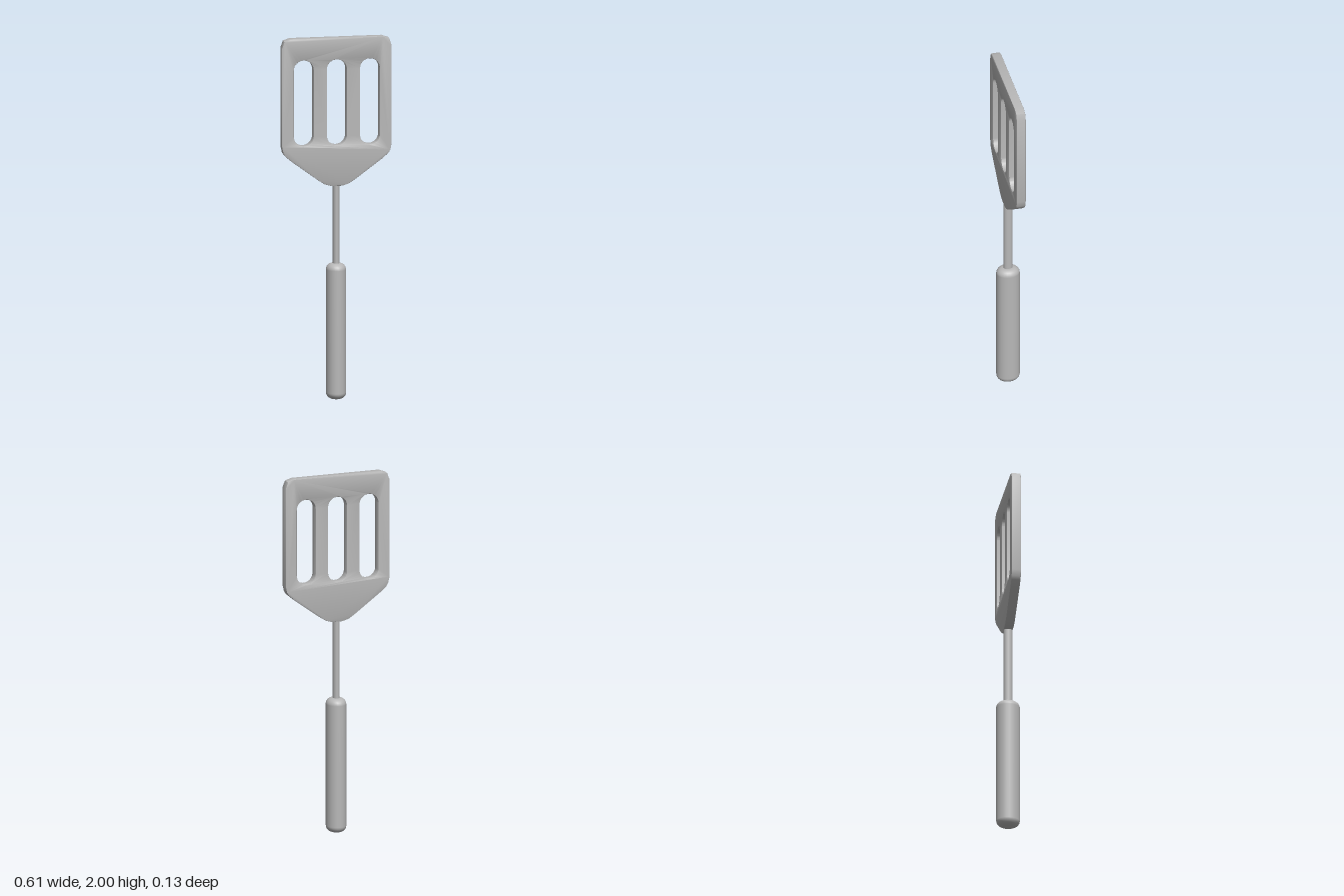
import * as THREE from 'three';
import { toCreasedNormals } from 'three/addons/utils/BufferGeometryUtils.js';

const grey = new THREE.MeshStandardMaterial({ color: 0xb8b8b8 });
grey.name = 'grey';

function addPart(group, name, geometry) {
  const mesh = new THREE.Mesh(geometry, grey);
  mesh.name = name;
  group.add(mesh);
  return mesh;
}

// Vertical slot with rounded ends
function slot(cx, halfWidth, bottom, top) {
  const path = new THREE.Path();
  path.absarc(cx, top - halfWidth, halfWidth, 0, Math.PI, false);
  path.absarc(cx, bottom + halfWidth, halfWidth, Math.PI, Math.PI * 2, false);
  path.closePath();
  return path;
}

function bladeGeometry() {
  // Right half of the outline, bottom to top, then mirrored
  const half = [
    [0.03, 1.18], [0.065, 1.19], [0.1, 1.212], [0.25, 1.322],
    [0.285, 1.352], [0.296, 1.37], [0.304, 1.405],
    [0.304, 1.95], [0.29, 1.988], [0.255, 2],
  ];
  const mirrored = half.map(([x, y]) => [-x, y]).reverse();
  const shape = new THREE.Shape([...half, ...mirrored].map(([x, y]) => new THREE.Vector2(x, y)));
  for (const cx of [-0.183, 0, 0.183]) shape.holes.push(slot(cx, 0.054, 1.405, 1.88));

  const bevel = 0.005, thickness = 0.052;
  const geometry = new THREE.ExtrudeGeometry(shape, {
    depth: thickness - 2 * bevel, curveSegments: 12,
    bevelEnabled: true, bevelThickness: bevel, bevelSize: bevel, bevelOffset: -bevel, bevelSegments: 2,
  });
  geometry.translate(0, 0, bevel - thickness / 2);
  return toCreasedNormals(geometry, 0.6);
}

// Grip with softly rounded ends
function handleGeometry() {
  const radius = 0.055, height = 0.75, round = 0.035, steps = 6;
  const points = [new THREE.Vector2(0, 0)];
  for (const end of [0, 1]) {
    for (let i = 0; i <= steps; i++) {
      const a = (end + i / steps) * Math.PI / 2;
      const y = (end ? height - round : round) - Math.cos(a) * round;
      points.push(new THREE.Vector2(radius - round + Math.sin(a) * round, y));
    }
  }
  points.push(new THREE.Vector2(0, height));
  return new THREE.LatheGeometry(points, 24);
}

export function createModel() {
  const group = new THREE.Group();
  group.name = 'spatula';

  addPart(group, 'blade', bladeGeometry());

  // Oval shaft runs a little way into the grip and the blade
  const shaft = addPart(group, 'shaft', new THREE.CylinderGeometry(0.018, 0.018, 0.5, 16));
  shaft.position.y = 0.96;
  shaft.scale.z = 1.35;

  const handle = addPart(group, 'handle', handleGeometry());
  handle.scale.z = 1.18;

  return group;
}
